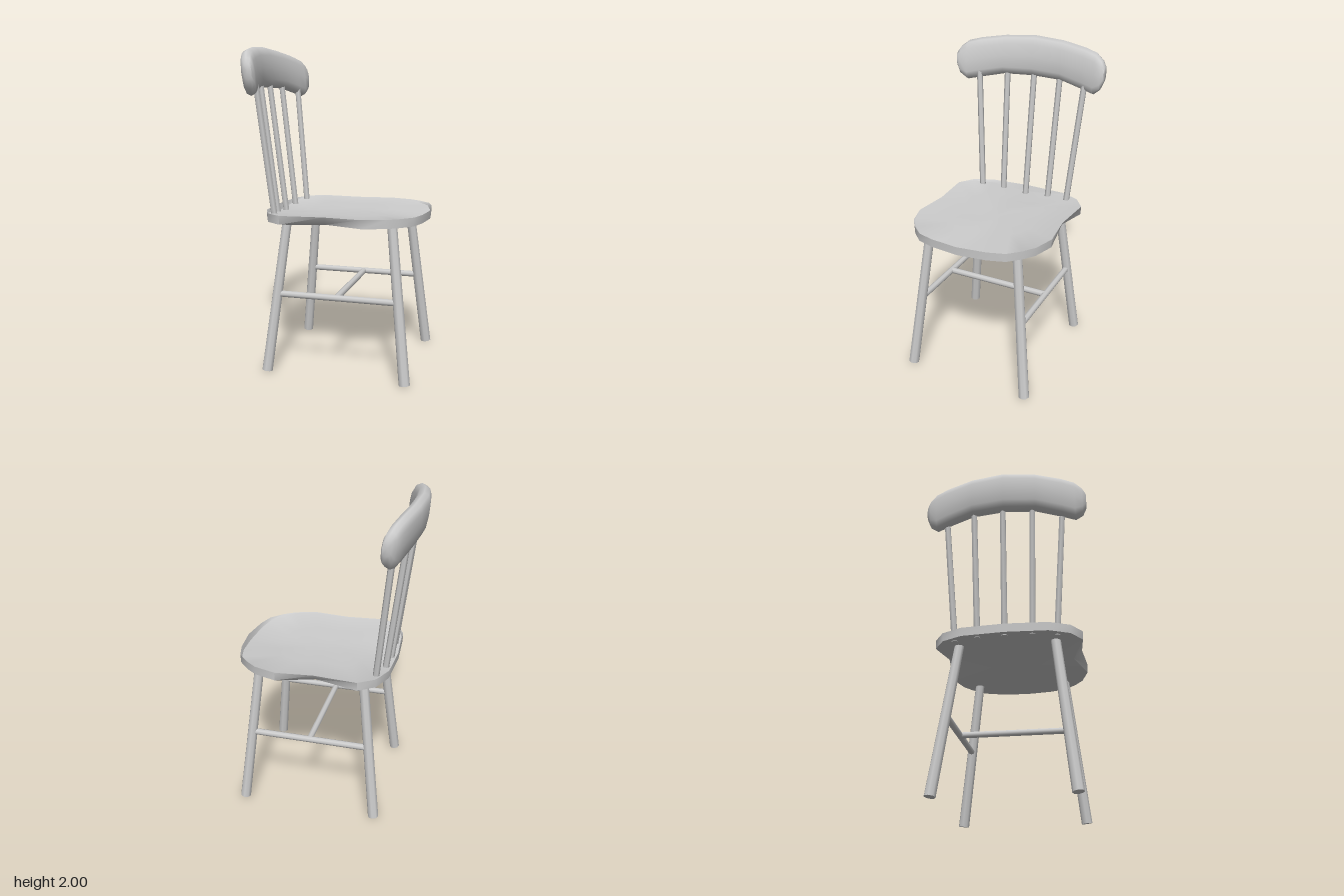
import * as THREE from 'three';
import { toCreasedNormals } from 'three/addons/utils/BufferGeometryUtils.js';

const V = (x, y, z) => new THREE.Vector3(x, y, z);
const material = new THREE.MeshStandardMaterial({ color: 0xcccccc });

// Closed skin over a stack of equal-length rings, capped at both ends
function loft(rings, crease) {
  const n = rings[0].length, last = rings.length - 1;
  const middle = ring => ring.reduce((s, p) => s.add(p), V(0, 0, 0)).divideScalar(n);
  const points = [...rings.flat(), middle(rings[0]), middle(rings[last])];
  const index = [];
  for (let j = 0; j < n; j++) {
    const k = (j + 1) % n;
    for (let i = 0; i < last; i++) {
      const a = i * n, b = a + n;
      index.push(a + j, a + k, b + k, a + j, b + k, b + j);
    }
    index.push(points.length - 2, k, j, points.length - 1, last * n + j, last * n + k);
  }
  const geometry = new THREE.BufferGeometry().setFromPoints(points);
  geometry.setIndex(index);
  return toCreasedNormals(geometry, crease);
}

function createRod(name, from, to, rFrom, rTo, sides) {
  const dir = to.clone().sub(from);
  const rod = new THREE.Mesh(new THREE.CylinderGeometry(rTo, rFrom, dir.length(), sides), material);
  rod.name = name;
  rod.position.copy(from).lerp(to, 0.5);
  rod.quaternion.setFromUnitVectors(V(0, 1, 0), dir.normalize());
  return rod;
}

// Saddle seat: half outline from front centre to back centre, mirrored
function createSeat() {
  const half = [[0.18, 0.554], [0.288, 0.521], [0.363, 0.449], [0.412, 0.381], [0.454, 0.244],
    [0.43, 0.012], [0.451, -0.256], [0.384, -0.353], [0.26, -0.408]];
  const outline = [[0, 0.575], ...half, [0, -0.424], ...half.map(([x, z]) => [-x, z]).reverse()];
  const ring = (scale, height) => outline.map(([x, z]) =>
    V(x * scale, height(x, z), 0.05 + (z - 0.05) * scale));
  const underside = ring(0.995, () => 0.942);
  // Undercut below the waist on both sides
  underside.forEach(p => { if (Math.abs(p.z) < 0.05) p.x *= 0.88; });
  // The top falls away towards the middle of the front and back edges
  const dip = x => Math.max(0, 1 - Math.abs(x) / 0.42);
  const seat = new THREE.Mesh(loft([
    underside,
    ring(1, () => 0.995),
    ring(0.98, x => 0.992 - 0.04 * dip(x)),
    ring(0.55, x => 0.982 - 0.02 * dip(x)),
    ring(0.2, () => 0.971),
  ], 0.9), material);
  seat.name = 'seat';
  seat.position.x = -0.006;
  return seat;
}

// Curved crest rail: sections of [x, z, top, bottom, half thickness]
function createCrestRail() {
  const half = [[0.2, -0.488, 1.988, 1.742, 0.049], [0.36, -0.452, 1.965, 1.71, 0.047],
    [0.44, -0.43, 1.945, 1.693, 0.045], [0.485, -0.415, 1.91, 1.73, 0.04],
    [0.508, -0.408, 1.875, 1.785, 0.026]];
  const sections = [...half.map(([x, ...r]) => [-x, ...r]).reverse(),
    [0, -0.505, 2, 1.747, 0.05], ...half];
  const soft = t => Math.sign(t) * Math.pow(Math.abs(t), 0.75);
  const rings = sections.map(([x, z, top, bottom, thick]) =>
    Array.from({ length: 12 }, (_, i) => {
      const a = i / 12 * Math.PI * 2, dy = soft(Math.cos(a)) * (top - bottom) / 2;
      return V(x, (top + bottom) / 2 + dy, z + soft(Math.sin(a)) * thick - dy * 0.12);
    }));
  const rail = new THREE.Mesh(loft(rings, 1.2), material);
  rail.name = 'crestRail';
  rail.position.x = -0.012;
  return rail;
}

export function createModel() {
  const model = new THREE.Group();
  model.name = 'chair';
  const chair = new THREE.Group();
  chair.name = 'chairBody';
  chair.position.set(0.012, 0, -0.009);
  chair.rotation.y = THREE.MathUtils.degToRad(36);
  model.add(chair);

  chair.add(createSeat(), createCrestRail());

  // Splayed legs and side stretchers
  for (const [side, s] of [['left', 1], ['right', -1]]) {
    chair.add(
      createRod(side + 'FrontLeg', V(s * 0.4, 0.007, 0.498), V(s * 0.292, 0.96, 0.39), 0.034, 0.03, 8),
      createRod(side + 'BackLeg', V(s * 0.4, 0.007, -0.366), V(s * 0.292, 0.96, -0.26), 0.034, 0.03, 8),
      createRod(side + 'Stretcher', V(s * 0.346, 0.488, -0.32), V(s * 0.346, 0.488, 0.445), 0.02, 0.02, 8));
  }
  chair.add(createRod('crossStretcher', V(-0.346, 0.488, 0.065), V(0.346, 0.488, 0.065), 0.02, 0.02, 8));

  // Fanned back spindles, running through the seat into the crest rail
  const spindles = [[0, -0.383, 0, -0.475], [0.166, -0.376, 0.183, -0.463], [0.312, -0.342, 0.365, -0.418]];
  for (const [x0, z0, x1, z1] of spindles) {
    for (const s of x0 ? [1, -1] : [1]) {
      const low = V(s * x0 - 0.002, 1, z0), high = V(s * x1 - 0.002, 1.73, z1);
      chair.add(createRod('backSpindle', low.clone().lerp(high, -0.083), low.clone().lerp(high, 1.08),
        0.02, 0.019, 6));
    }
  }
  return model;
}
